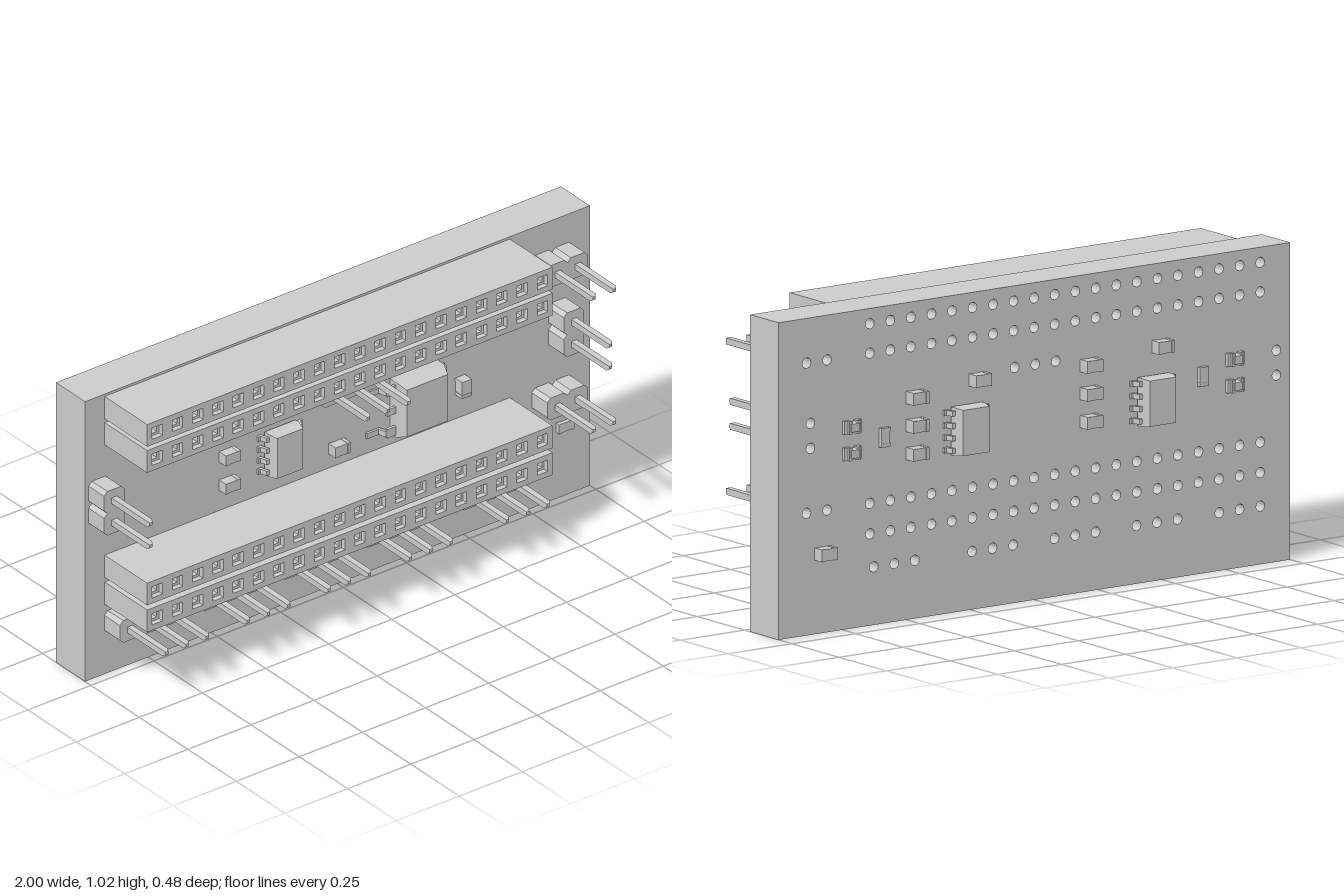
import * as THREE from 'three';

const mat = new THREE.MeshStandardMaterial({ color: 0xcccccc, flatShading: true });
const PITCH = 0.0803;
const BACK = -0.18, FRONT = -0.03;

function mesh(parent, name, geo, x = 0, y = 0, z = 0) {
  const m = new THREE.Mesh(geo, mat);
  m.name = name;
  m.position.set(x, y, z);
  parent.add(m);
  return m;
}

function group(parent, name, x, y, turn = 0) {
  const g = new THREE.Group();
  g.name = name;
  g.position.set(x, y, 0);
  g.rotation.z = turn;
  parent.add(g);
  return g;
}

// Box standing on z = 0 whose outer face is narrowed by insets
function block(w, h, d, insetX = 0, insetY = 0) {
  const geo = new THREE.BoxGeometry(w, h, d).translate(0, 0, d / 2);
  const p = geo.attributes.position;
  for (let i = 0; i < p.count; i++) {
    if (p.getZ(i) < d / 2) continue;
    p.setX(i, p.getX(i) - Math.sign(p.getX(i)) * insetX);
    p.setY(i, p.getY(i) - Math.sign(p.getY(i)) * insetY);
  }
  geo.computeVertexNormals();
  return geo;
}

function rectPath(PathType, x, y, w, h) {
  return new PathType([[-1, -1], [1, -1], [1, 1], [-1, 1]]
    .map(([a, b]) => new THREE.Vector2(x + a * w / 2, y + b * h / 2)));
}

const extrude = (shape, depth) =>
  new THREE.ExtrudeGeometry(shape, { depth, bevelEnabled: false, curveSegments: 6 });

// Row of square openings with a wide mouth and a narrower well
function socketStrip(parent, y) {
  const g = group(parent, 'socketStrip', -0.12, y);
  const w = 20 * PITCH, h = 0.081;
  const layer = (hole, depth) => {
    const s = rectPath(THREE.Shape, 0, 0, w, h);
    for (let i = 0; i < 20; i++) s.holes.push(rectPath(THREE.Path, (i - 9.5) * PITCH, 0, hole, hole));
    return extrude(s, depth);
  };
  mesh(g, 'socketBase', block(w, h, 0.06));
  mesh(g, 'socketWells', layer(0.023, 0.142), 0, 0, 0.06);
  mesh(g, 'socketMouths', layer(0.041, 0.018), 0, 0, 0.202);
}

// Chamfered housing segment and pointed pin for every contact
function pinHeader(parent, x, y, count, turn = 0) {
  const g = group(parent, 'pinHeader', x, y, turn);
  const a = PITCH / 2, b = 0.027;
  const outline = [[-a, -b], [-b, -a], [b, -a], [a, -b], [a, b], [b, a], [-b, a], [-a, b]];
  for (let i = 0; i < count; i++) {
    const px = (i - (count - 1) / 2) * PITCH;
    mesh(g, 'pinHousing', extrude(new THREE.Shape(outline.map(p => new THREE.Vector2(...p))), 0.08), px);
    mesh(g, 'pin', block(0.021, 0.021, 0.182), px, 0, 0.08);
    mesh(g, 'pinTip', block(0.021, 0.021, 0.008, 0.005, 0.005), px, 0, 0.262);
  }
}

// Bent lead running from the body at height top out to the board, towards +x
function lead(parent, x, y, side, length, top, width) {
  const t = 0.008, k = length * 0.45;
  const s = new THREE.Shape([[0, top], [k, top], [k + 0.008, t], [length, t], [length, 0],
    [k, 0], [k - 0.008, top - t], [0, top - t]].map(p => new THREE.Vector2(...p)));
  const geo = extrude(s, width).translate(0, 0, -width / 2).rotateX(Math.PI / 2);
  const m = mesh(parent, 'lead', geo, x, y);
  if (side < 0) m.rotation.z = Math.PI;
}

// Eight-lead chip
function chip(parent, x, y) {
  const g = group(parent, 'chip', x, y);
  mesh(g, 'chipLowerBody', block(0.122, 0.155, 0.02), 0, 0, 0.006);
  mesh(g, 'chipUpperBody', block(0.122, 0.155, 0.032, 0.01, 0.004), 0, 0, 0.026);
  for (const side of [-1, 1])
    for (let i = 0; i < 4; i++) lead(g, side * 0.058, (i - 1.5) * 0.04, side, 0.03, 0.03, 0.017);
}

// Power regulator with a mounting tab on the right and leads on the left
function regulator(parent, x, y) {
  const g = group(parent, 'regulator', x, y);
  mesh(g, 'regulatorLowerBody', block(0.19, 0.2, 0.032), 0, 0, 0.003);
  mesh(g, 'regulatorUpperBody', block(0.19, 0.2, 0.038, 0.014, 0.015), 0, 0, 0.035);
  const tab = new THREE.Shape([[0, -0.085], [0.115, -0.085], [0.125, -0.07], [0.125, -0.05], [0.115, -0.035],
    [0.115, 0.035], [0.125, 0.05], [0.125, 0.07], [0.115, 0.085], [0, 0.085]].map(p => new THREE.Vector2(...p)));
  mesh(g, 'regulatorTab', extrude(tab, 0.012));
  for (const s of [-1, 1]) {
    lead(g, -0.09, s * 0.075, -1, 0.1, 0.034, 0.02);
    mesh(g, 'leadShoulder', block(0.04, 0.032, 0.01), -0.11, s * 0.075, 0.025);
  }
  mesh(g, 'leadStub', block(0.04, 0.024, 0.01), -0.11, 0, 0.025);
}

// Two-terminal part: body between slightly larger end caps
function passive(parent, name, x, y, height, turn = 0, length = 0.06, width = 0.038) {
  const g = group(parent, name, x, y, turn);
  mesh(g, name + 'Body', block(length * 0.6, width - 0.002, height - 0.001));
  for (const s of [-1, 1])
    mesh(g, name + 'Terminal', block(length * 0.2, width, height), s * length * 0.4);
}

// Small diode: waisted body with flat feet
function diode(parent, x, y) {
  const g = group(parent, 'diode', x, y);
  mesh(g, 'diodeBody', block(0.04, 0.034, 0.024, 0.004, 0.004), 0, 0, 0.002);
  for (const s of [-1, 1]) {
    mesh(g, 'diodeFoot', block(0.018, 0.042, 0.012), s * 0.024);
    mesh(g, 'diodeShoulder', block(0.01, 0.042, 0.022), s * 0.016);
  }
}

export function createModel() {
  const model = new THREE.Group();
  model.name = 'circuitBoard';

  const socketRows = [0.971, 0.876, 0.393, 0.295];
  // x, y, pin count, upright
  const headers = [
    [-0.803, 0.187, 3], [-0.48, 0.187, 3], [-0.16, 0.187, 3], [0.163, 0.187, 3], [0.547, 0.187, 3],
    [-0.004, 0.757, 3], [0.85, 0.876, 2], [0.85, 0.393, 2],
    [-0.946, 0.64, 2, true], [0.875, 0.64, 2, true]];

  // Board drilled at every contact
  const board = rectPath(THREE.Shape, 0, 0.51, 2, 1.02);
  const drill = (x, y) => board.holes.push(new THREE.Path().absarc(x, y, 0.017, 0, Math.PI * 2, true));
  for (const y of socketRows)
    for (let i = 0; i < 20; i++) drill(-0.12 + (i - 9.5) * PITCH, y);
  for (const [x, y, n, upright] of headers)
    for (let i = 0; i < n; i++) {
      const d = (i - (n - 1) / 2) * PITCH;
      drill(upright ? x : x + d, upright ? y + d : y);
    }
  mesh(model, 'board', extrude(board, FRONT - BACK), 0, 0, BACK);

  // Front side
  const front = group(model, 'frontParts', 0, 0);
  front.position.z = FRONT;
  for (const y of socketRows) socketStrip(front, y);
  for (const [x, y, n, upright] of headers) pinHeader(front, x, y, n, upright ? Math.PI / 2 : 0);
  chip(front, -0.232, 0.583);
  regulator(front, 0.3, 0.575);
  for (const [x, y] of [[-0.44, 0.63], [-0.44, 0.527], [-0.005, 0.504]]) passive(front, 'capacitor', x, y, 0.036);
  passive(front, 'capacitor', 0.485, 0.552, 0.036, Math.PI / 2);
  for (const x of [0.772, 0.897]) passive(front, 'resistor', x, 0.258, 0.015, 0, 0.062, 0.034);

  // Back side, turned to face -z
  const back = group(model, 'backParts', 0, 0);
  back.position.z = BACK;
  back.rotation.y = Math.PI;
  for (const x of [0.27, -0.46]) chip(back, -x, 0.587);
  const caps = [[0.47, 0.715], [0.47, 0.625], [0.47, 0.535], [0.225, 0.74],
    [-0.21, 0.73], [-0.21, 0.64], [-0.21, 0.55], [-0.49, 0.755], [0.828, 0.258]];
  for (const [x, y] of caps) passive(back, 'capacitor', -x, y, 0.039, 0, 0.062, 0.04);
  for (const [x, y] of [[0.717, 0.65], [0.717, 0.565], [-0.78, 0.675], [-0.78, 0.59]]) diode(back, -x, y);
  for (const [x, y] of [[0.59, 0.6], [-0.655, 0.635]])
    passive(back, 'resistor', -x, y, 0.014, Math.PI / 2, 0.062, 0.035);

  return model;
}
